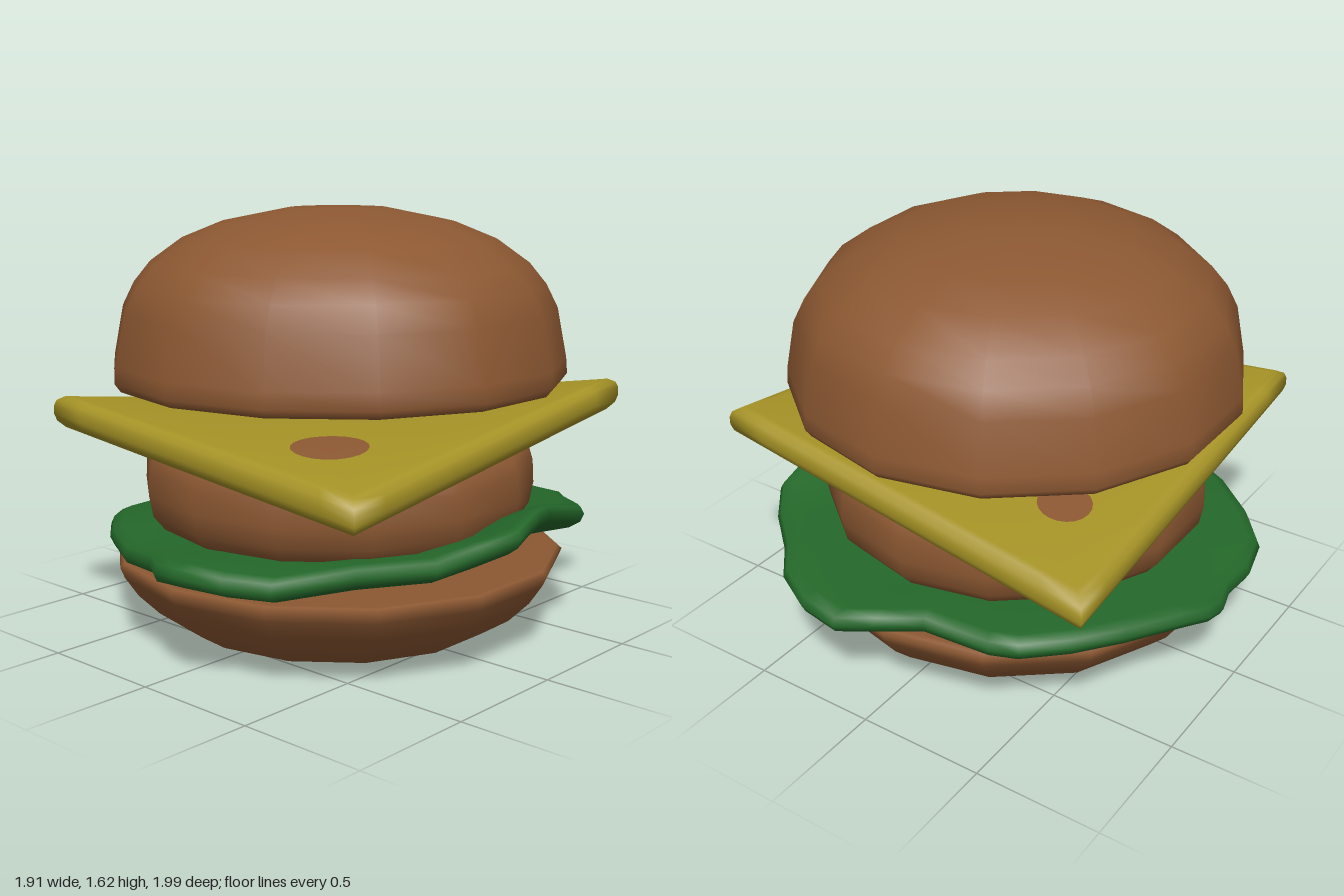
import * as THREE from 'three';

const mat = (name, color) => Object.assign(new THREE.MeshStandardMaterial({ color }), { name });

// Closed slab: an outline of [x, z] points repeated along a profile of [scale, yOffset],
// running from the top centre over the rim to the bottom centre.
function loft(outline, profile, height) {
  const n = outline.length, pos = [], idx = [];
  profile.forEach(([s, dy]) => outline.forEach(([x, z], i) => {
    pos.push(x * s, height(x * s, z * s, s, i) + dy, z * s);
  }));
  for (let j = 0; j < profile.length - 1; j++) {
    for (let i = 0; i < n; i++) {
      const k = (i + 1) % n;
      const a = j * n + i, b = a + n, c = j * n + k, d = c + n;
      if (profile[j][0] > 0) idx.push(a, c, b);
      if (profile[j + 1][0] > 0) idx.push(b, c, d);
    }
  }
  const g = new THREE.BufferGeometry();
  g.setAttribute('position', new THREE.Float32BufferAttribute(pos, 3));
  g.setIndex(idx);
  g.computeVertexNormals();
  return g;
}

// Fourteen-sided turned part
const turned = (points) => new THREE.LatheGeometry(points.map(([r, y]) => new THREE.Vector2(r, y)), 14);

// Saddle-shaped top of the cheese: two opposite corners droop, two lift
const HALF = 0.775;
function cheeseTop(x, z) {
  const u = (x / HALF + 1) / 2, v = (z / HALF + 1) / 2;
  return (1 - v) * ((1 - u) * 0.70 + u * 0.975) + v * ((1 - u) * 0.92 + u * 0.75);
}

// Lettuce rim: [x, y, z], going round from the left side
const RIM = [
  [0.93, 0.55, 0.02], [0.955, 0.53, 0.12], [0.89, 0.49, 0.24], [0.78, 0.43, 0.35],
  [0.63, 0.43, 0.60], [0.40, 0.37, 0.78], [0.29, 0.40, 0.91], [0.15, 0.425, 0.99],
  [0, 0.40, 0.95], [-0.14, 0.38, 0.85], [-0.36, 0.36, 0.79], [-0.60, 0.36, 0.66],
  [-0.78, 0.35, 0.51], [-0.90, 0.33, 0.37], [-0.94, 0.32, 0.20], [-0.93, 0.32, 0.05],
  [-0.96, 0.32, -0.06], [-0.95, 0.33, -0.14], [-0.90, 0.35, -0.25], [-0.78, 0.37, -0.47],
  [-0.66, 0.38, -0.64], [-0.52, 0.38, -0.77], [-0.42, 0.38, -0.81], [-0.15, 0.38, -0.83],
  [0, 0.38, -0.93], [0.13, 0.37, -1.0], [0.29, 0.38, -0.98], [0.45, 0.40, -0.90],
  [0.55, 0.42, -0.78], [0.70, 0.44, -0.65], [0.80, 0.47, -0.52], [0.82, 0.52, -0.30],
  [0.86, 0.545, -0.20], [0.90, 0.56, -0.09],
];

export function createModel() {
  const group = new THREE.Group();
  const brown = mat('toastedBrown', 0x8c5832);
  const yellow = mat('cheeseYellow', 0xa59226);
  const green = mat('lettuceGreen', 0x24682a);

  const add = (name, geometry, material) => {
    const mesh = new THREE.Mesh(geometry, material);
    mesh.name = name;
    group.add(mesh);
  };

  // Buns and patty
  add('bottomBun', turned([
    [0, 0], [0.44, 0], [0.50, 0.005], [0.62, 0.04], [0.73, 0.11], [0.81, 0.19],
    [0.86, 0.265], [0.877, 0.305], [0.86, 0.32], [0.84, 0.32], [0, 0.32],
  ]), brown);
  add('patty', turned([
    [0, 0.42], [0.64, 0.42], [0.70, 0.435], [0.745, 0.49], [0.76, 0.57],
    [0.755, 0.66], [0.735, 0.725], [0.69, 0.748], [0.64, 0.75], [0, 0.75],
  ]), brown);
  add('topBun', turned([
    [0, 0.97], [0.83, 0.97], [0.855, 0.97], [0.877, 1.0], [0.872, 1.06], [0.835, 1.25],
    [0.79, 1.34], [0.725, 1.42], [0.60, 1.51], [0.44, 1.575], [0.19, 1.625], [0, 1.625],
  ]), brown);

  // Wavy lettuce leaf, level in the middle and rising or drooping to its rim
  add('lettuce', loft(RIM.map(([x, , z]) => [x, z]), [
    [0, 0.045], [0.6, 0.045], [0.8, 0.045], [0.94, 0.045], [0.985, 0.03], [1, 0],
    [0.985, -0.03], [0.94, -0.045], [0.8, -0.045], [0.6, -0.045], [0, -0.045],
  ], (x, z, s, i) => THREE.MathUtils.lerp(0.375, RIM[i][1], Math.max(0, (s - 0.55) / 0.45))), green);

  // Cheese slice with a rounded rim
  const square = [];
  const corners = [[1, -1], [1, 1], [-1, 1], [-1, -1]];
  corners.forEach(([x, z], c) => {
    const [x2, z2] = corners[(c + 1) % 4];
    for (let i = 0; i < 10; i++) {
      const t = i / 10;
      square.push([HALF * (x + (x2 - x) * t), HALF * (z + (z2 - z) * t)]);
    }
  });
  add('cheeseSlice', loft(square, [
    [0, 0], [0.25, 0], [0.5, 0], [0.75, 0], [0.93, 0], [0.96, -0.005], [0.99, -0.025], [1, -0.05],
    [1, -0.08], [0.99, -0.105], [0.96, -0.125], [0.93, -0.13], [0.75, -0.13], [0.5, -0.13],
    [0.25, -0.13], [0, -0.13],
  ], cheeseTop), yellow);

  // Brown patches showing on the two drooping corners of the cheese
  [[0.37, 0.45, 0.14], [-0.47, -0.40, 0.1]].forEach(([x, z, r], i) => {
    const g = new THREE.CircleGeometry(r, 20).rotateX(-Math.PI / 2).translate(x, 0, z);
    const p = g.attributes.position;
    for (let k = 0; k < p.count; k++) p.setY(k, cheeseTop(p.getX(k), p.getZ(k)) + 0.005);
    g.computeVertexNormals();
    add(i ? 'backCheesePatch' : 'frontCheesePatch', g, brown);
  });

  return group;
}
